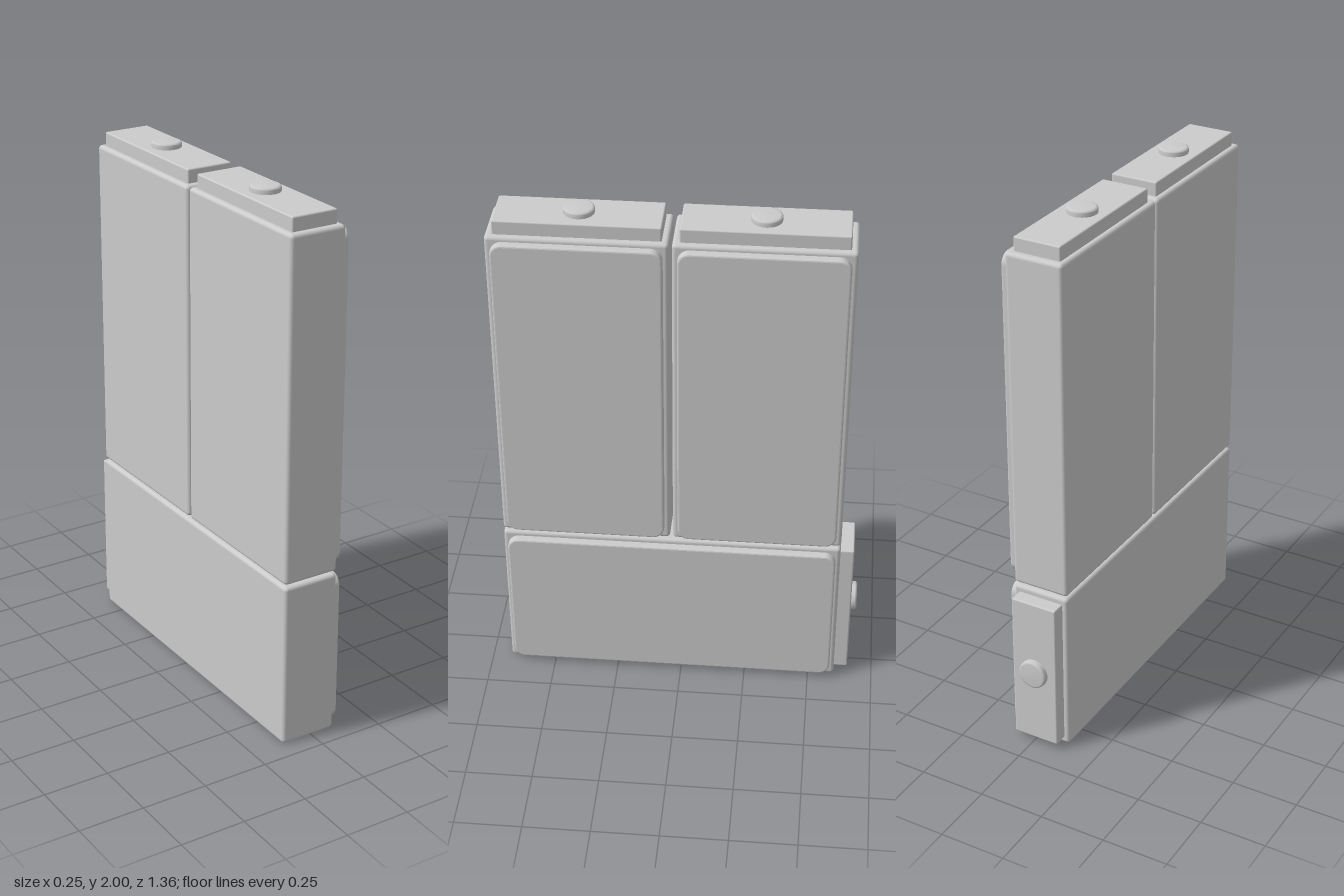
import * as THREE from 'three';
import { RoundedBoxGeometry } from 'three/addons/geometries/RoundedBoxGeometry.js';

const mat = new THREE.MeshStandardMaterial({ color: 0xcccccc });
const W = 0.635, H = 1.28, DEPTH = 0.22, CX = -0.015; // case size and its x centre

function add(group, name, geometry, x, y, z) {
  const mesh = new THREE.Mesh(geometry, mat);
  mesh.name = name;
  mesh.position.set(x, y, z);
  group.add(mesh);
}

// Flat plate with rounded corners and a softened rim, facing +x
function plateGeometry(w, h, r, thickness, bevel) {
  const a = w / 2 - bevel, b = h / 2 - bevel;
  const s = new THREE.Shape();
  s.moveTo(-a + r, -b);
  s.lineTo(a - r, -b);
  s.absarc(a - r, -b + r, r, -Math.PI / 2, 0);
  s.lineTo(a, b - r);
  s.absarc(a - r, b - r, r, 0, Math.PI / 2);
  s.lineTo(-a + r, b);
  s.absarc(-a + r, b - r, r, Math.PI / 2, Math.PI);
  s.lineTo(-a, -b + r);
  s.absarc(-a + r, -b + r, r, Math.PI, Math.PI * 1.5);
  return new THREE.ExtrudeGeometry(s, {
    depth: thickness - bevel, bevelSize: bevel, bevelThickness: bevel,
    bevelSegments: 3, curveSegments: 6,
  }).rotateY(Math.PI / 2);
}

// One case standing on its base, with a cap and knob on top and a panel on +x
function makeCase(name) {
  const g = new THREE.Group();
  g.name = name;
  add(g, 'body', new RoundedBoxGeometry(DEPTH, H, W, 3, 0.014), CX, H / 2, 0);
  add(g, 'panel', plateGeometry(W - 0.04, H - 0.035, 0.035, 0.028, 0.008), 0.095, H / 2, 0);
  add(g, 'cap', new RoundedBoxGeometry(0.18, 0.06, 0.585, 2, 0.006), CX, H + 0.022, 0);
  const knob = [[0.055, 0], [0.055, 0.016], [0.053, 0.021], [0.046, 0.024], [0, 0.025]]
    .map(([r, y]) => new THREE.Vector2(r, y));
  add(g, 'knob', new THREE.LatheGeometry(knob, 24), CX, H + 0.05, 0);
  return g;
}

export function createModel() {
  const model = new THREE.Group();
  model.name = 'threeCases';

  // Two upright cases side by side
  const front = makeCase('frontUprightCase');
  front.position.set(0, 0.645, 0.36);
  const back = makeCase('backUprightCase');
  back.position.set(0, 0.645, -0.285);

  // One case lying below, cap pointing to the back
  const lower = makeCase('lowerLyingCase');
  lower.rotation.x = -Math.PI / 2;
  lower.position.set(0, W / 2, 0.678);

  model.add(front, back, lower);
  return model;
}
